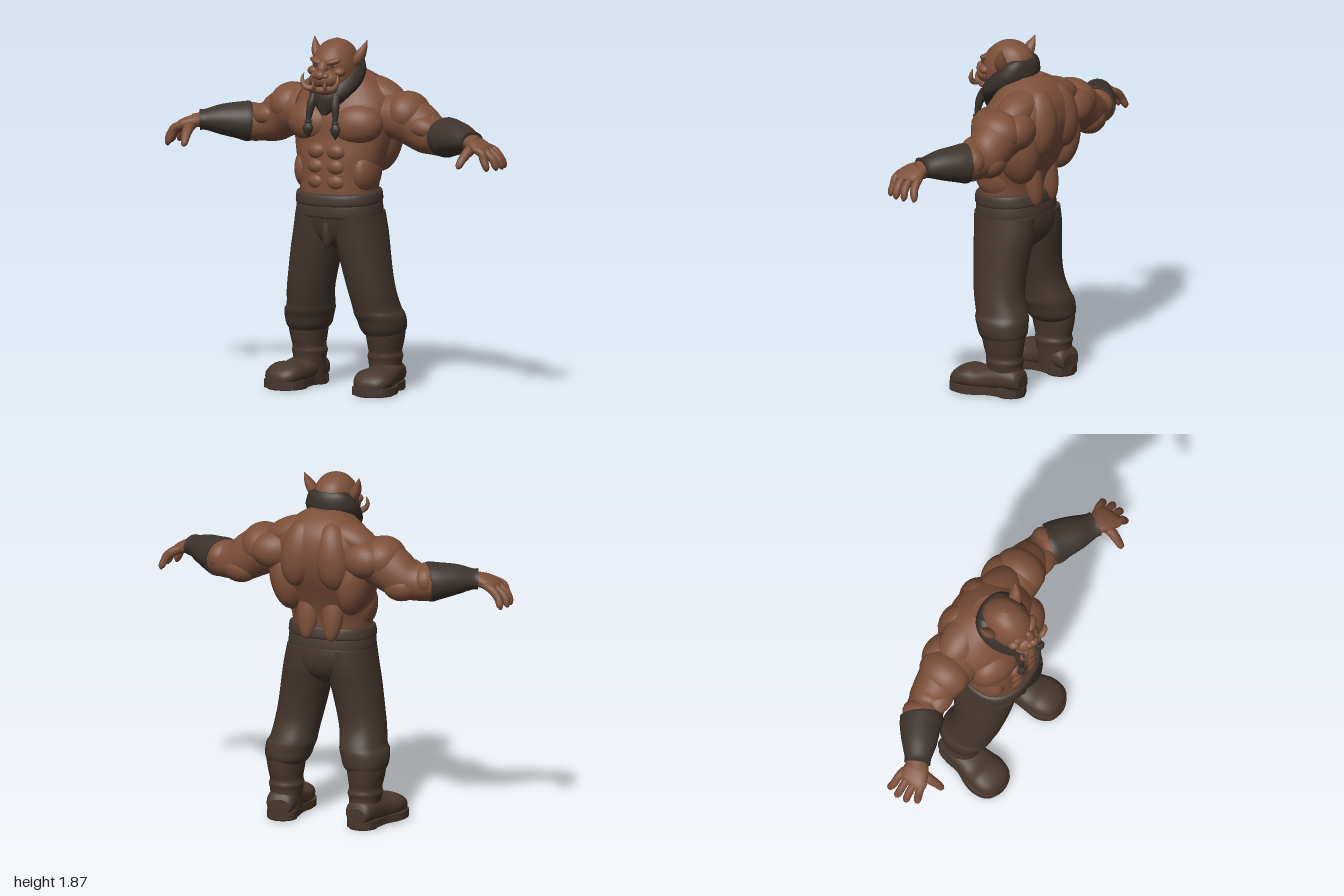
import * as THREE from 'three';

const mat = (name, color) => {
  const m = new THREE.MeshStandardMaterial({ color });
  m.name = name;
  return m;
};
const V = (a) => new THREE.Vector3(...a);

// Smoothed rows [x, y, z, halfU, halfV] swept into a closed skin; a fixed t keeps all rings parallel
function loft(rows, { v = [0, 0, 1], t = null, n = 2, steps = 4, seg = 28 } = {}) {
  const rings = [];
  const row = (i) => rows[Math.max(0, Math.min(rows.length - 1, i))];
  for (let i = 0; i < rows.length - 1; i++) {
    for (let s = 0; s < steps; s++) {
      const f = s / steps;
      rings.push(rows[i].map((b, k) => {
        const a = row(i - 1)[k], c = row(i + 1)[k], d = row(i + 2)[k];
        return b + 0.5 * f * (c - a + f * (2 * a - 5 * b + 4 * c - d + f * (3 * (b - c) + d - a)));
      }));
    }
  }
  rings.push(rows[rows.length - 1]);
  const pos = [], idx = [];
  const sgnPow = (x) => Math.sign(x) * Math.abs(x) ** (2 / n);
  const count = rings.length;
  const addRing = (i) => {
    const r = rings[i];
    const c = V(r.slice(0, 3));
    const dir = t ? V(t) : V(rings[Math.min(i + 1, count - 1)].slice(0, 3))
      .sub(V(rings[Math.max(i - 1, 0)].slice(0, 3))).normalize();
    const u = V(v).cross(dir).normalize();
    const w = dir.clone().cross(u);
    for (let j = 0; j < seg; j++) {
      const a = j / seg * Math.PI * 2;
      const p = c.clone().addScaledVector(u, sgnPow(Math.cos(a)) * Math.max(r[3], 0.001))
        .addScaledVector(w, sgnPow(Math.sin(a)) * Math.max(r[4], 0.001));
      pos.push(p.x, p.y, p.z);
    }
    return c;
  };
  for (let i = 0; i < count; i++) addRing(i);
  for (let i = 0; i < count - 1; i++) {
    for (let j = 0; j < seg; j++) {
      const a = i * seg + j, b = i * seg + (j + 1) % seg;
      idx.push(a, b, a + seg, b, b + seg, a + seg);
    }
  }
  // End caps with their own vertices, so the rims stay crisp
  for (const [i, flip] of [[0, true], [count - 1, false]]) {
    const base = pos.length / 3;
    const c = addRing(i);
    pos.push(c.x, c.y, c.z);
    for (let j = 0; j < seg; j++) {
      const a = base + j, b = base + (j + 1) % seg;
      idx.push(base + seg, flip ? b : a, flip ? a : b);
    }
  }
  const g = new THREE.BufferGeometry();
  g.setAttribute('position', new THREE.Float32BufferAttribute(pos, 3));
  g.setIndex(idx);
  g.computeVertexNormals();
  return g;
}

// Horizontal slice from front and back depth
const slice = ([y, front, back, halfX, x = 0]) => [x, y, (front + back) / 2, (front - back) / 2, halfX];
const body = (rows, n = 2.3, steps = 4) =>
  loft(rows.map(slice), { v: [1, 0, 0], t: [0, 1, 0], n, steps, seg: 36 });

function ball(c, r, rot = [0, 0, 0]) {
  const g = new THREE.SphereGeometry(1, 24, 16);
  g.scale(...r);
  g.applyMatrix4(new THREE.Matrix4().makeRotationFromEuler(new THREE.Euler(...rot)));
  return g.translate(...c);
}

function mirror(geo) {
  const g = geo.index ? geo.toNonIndexed() : geo.clone();
  g.scale(-1, 1, 1);
  for (const key of ['position', 'normal']) {
    const a = g.attributes[key];
    for (let i = 0; i < a.count; i += 3) {
      const p = [a.getX(i), a.getY(i), a.getZ(i)];
      a.setXYZ(i, a.getX(i + 1), a.getY(i + 1), a.getZ(i + 1));
      a.setXYZ(i + 1, ...p);
    }
  }
  return g;
}

export function createModel() {
  const root = new THREE.Group();
  root.name = 'tuskedBrute';
  const skin = mat('skin', 0x7d503a), hair = mat('hair', 0x39302a), cloth = mat('trouserCloth', 0x44362d);
  const sash = mat('sashCloth', 0x463830), leather = mat('bootLeather', 0x47372d), sole = mat('soleLeather', 0x33281f);
  const wrap = mat('wristLeather', 0x3e342d), tusk = mat('tusk', 0x825a43);

  const one = (name, geo, m) => {
    const mesh = new THREE.Mesh(geo, m);
    mesh.name = name;
    root.add(mesh);
  };
  const pair = (name, geo, m) => {
    one(name + 'Left', geo, m);
    one(name + 'Right', mirror(geo), m);
  };

  // Torso and neck
  one('torso', body([[0.95, 0.2, -0.13, 0.2], [1.05, 0.2, -0.125, 0.21], [1.15, 0.2, -0.145, 0.22],
    [1.25, 0.195, -0.185, 0.245], [1.35, 0.18, -0.23, 0.27], [1.45, 0.17, -0.255, 0.28],
    [1.53, 0.14, -0.255, 0.27], [1.6, 0.1, -0.235, 0.22], [1.66, 0.07, -0.185, 0.15], [1.7, 0.05, -0.12, 0.08]]), skin);
  one('neck', loft([[0, 1.5, -0.04, 0.13, 0.13], [0, 1.6, 0, 0.12, 0.12], [0, 1.7, 0.05, 0.1, 0.1]]), skin);

  // Muscles: [name, centre, radii, rotation]
  [['pectoral', [0.135, 1.42, 0.095], [0.145, 0.11, 0.1], [0, 0.2, 0.1]],
    ['trapezius', [0.17, 1.57, -0.1], [0.16, 0.08, 0.1], [0, 0, -0.35]],
    ['upperBack', [0.095, 1.48, -0.18], [0.1, 0.18, 0.094], [0.1, 0, 0.12]],
    ['shoulderBlade', [0.25, 1.47, -0.15], [0.13, 0.1, 0.095], [0, 0.3, 0]],
    ['latissimus', [0.19, 1.34, -0.11], [0.095, 0.19, 0.12], [0, 0, -0.15]],
    ['lowerBack', [0.07, 1.18, -0.115], [0.06, 0.18, 0.052], [0.2, 0, 0]],
    ['oblique', [0.17, 1.17, 0.05], [0.065, 0.12, 0.12], [0, 0, 0]],
    ['deltoid', [0.345, 1.475, -0.08], [0.12, 0.115, 0.14], [0, 0, -0.5]],
    ['biceps', [0.465, 1.415, -0.03], [0.095, 0.06, 0.07], [0, 0, -0.2]],
    ['triceps', [0.46, 1.345, -0.12], [0.1, 0.08, 0.08], [0, 0, 0]],
    ['forearmMuscle', [0.575, 1.38, -0.07], [0.075, 0.085, 0.1], [0, -0.4, 0]],
  ].forEach(([name, c, r, rot]) => pair(name, ball(c, r, rot), skin));
  [1.12, 1.2, 1.28].forEach((y, i) => pair('abdominal' + i, ball([0.056, y, 0.17], [0.055, 0.045, 0.042]), skin));

  // Arms, wrist wraps and hands
  pair('arm', loft([[0.24, 1.46, -0.07, 0.12, 0.13], [0.33, 1.45, -0.08, 0.13, 0.135], [0.4, 1.415, -0.085, 0.125, 0.12],
    [0.46, 1.38, -0.085, 0.115, 0.11], [0.52, 1.365, -0.075, 0.1, 0.1], [0.58, 1.365, -0.055, 0.1, 0.105],
    [0.64, 1.37, -0.03, 0.088, 0.1], [0.72, 1.375, 0.02, 0.068, 0.083], [0.8, 1.375, 0.065, 0.043, 0.058],
    [0.85, 1.37, 0.085, 0.034, 0.06]]), skin);
  pair('wristWrap', loft([[0.585, 1.367, -0.06, 0.103, 0.112], [0.6, 1.368, -0.05, 0.106, 0.114],
    [0.64, 1.372, -0.03, 0.097, 0.108], [0.72, 1.377, 0.02, 0.079, 0.092], [0.79, 1.376, 0.06, 0.055, 0.07],
    [0.815, 1.375, 0.073, 0.056, 0.07]]), wrap);
  pair('palm', loft([[0.8, 1.375, 0.065, 0.035, 0.052], [0.85, 1.365, 0.088, 0.034, 0.07],
    [0.9, 1.345, 0.1, 0.03, 0.077], [0.925, 1.33, 0.1, 0.016, 0.068]], { n: 2.4 }), skin);
  [[0.035, 0.97, 0.01], [0.077, 0.985, 0.065], [0.12, 0.98, 0.118], [0.16, 0.952, 0.17]].forEach(([z, tipX, tipZ], i) =>
    pair('finger' + i, loft([[0.875, 1.355, z, 0.02, 0.02], [0.92, 1.335, (z * 2 + tipZ) / 3, 0.023, 0.021],
      [tipX - 0.017, 1.3, (z + tipZ) / 2, 0.022, 0.021], [tipX, 1.262, tipZ, 0.018, 0.018],
      [tipX + 0.004, 1.242, tipZ, 0.006, 0.006]], { seg: 12 }), skin));
  pair('thumb', loft([[0.84, 1.36, 0.1, 0.03, 0.03], [0.838, 1.335, 0.16, 0.028, 0.028], [0.828, 1.3, 0.205, 0.022, 0.023],
    [0.822, 1.268, 0.232, 0.017, 0.018], [0.82, 1.255, 0.24, 0.005, 0.006]], { v: [1, 0, 0], seg: 12 }), skin);

  // Head
  one('skull', body([[1.6, 0.19, -0.01, 0.08], [1.65, 0.205, -0.04, 0.108], [1.7, 0.21, -0.055, 0.115],
    [1.74, 0.215, -0.06, 0.113], [1.78, 0.205, -0.058, 0.104], [1.82, 0.172, -0.035, 0.086],
    [1.85, 0.13, 0.005, 0.056], [1.866, 0.085, 0.05, 0.012]], 2.15), skin);
  one('muzzle', ball([0, 1.668, 0.195], [0.085, 0.055, 0.068]), skin);
  one('lowerJaw', ball([0, 1.612, 0.195], [0.078, 0.03, 0.06]), skin);
  one('noseBridge', ball([0, 1.725, 0.215], [0.03, 0.045, 0.035], [-0.4, 0, 0]), skin);
  one('noseTip', ball([0, 1.692, 0.248], [0.032, 0.026, 0.027]), skin);
  pair('nostrilWing', ball([0.03, 1.688, 0.24], [0.02, 0.018, 0.022]), skin);
  pair('nostril', ball([0.014, 1.682, 0.267], [0.007, 0.006, 0.006]), hair);
  pair('brow', ball([0.048, 1.76, 0.198], [0.046, 0.017, 0.024], [0, 0.35, 0.25]), skin);
  pair('cheek', ball([0.075, 1.705, 0.175], [0.035, 0.026, 0.035]), skin);
  pair('eye', ball([0.05, 1.738, 0.206], [0.013, 0.007, 0.009]), hair);
  pair('ear', loft([[0.085, 1.715, 0.055, 0.016, 0.025], [0.108, 1.745, 0.05, 0.026, 0.036], [0.13, 1.785, 0.042, 0.027, 0.034],
    [0.147, 1.825, 0.03, 0.015, 0.02], [0.157, 1.86, 0.02, 0.002, 0.002]], { seg: 16 }), skin);
  pair('tusk', loft([[0.045, 1.622, 0.235, 0.015, 0.015], [0.075, 1.622, 0.248, 0.016, 0.016],
    [0.1, 1.645, 0.25, 0.013, 0.013], [0.106, 1.672, 0.246, 0.009, 0.009], [0.1, 1.7, 0.24, 0.002, 0.002]], { seg: 12 }), tusk);
  pair('smallTusk', loft([[0.032, 1.615, 0.245, 0.01, 0.01], [0.034, 1.635, 0.26, 0.009, 0.009],
    [0.036, 1.662, 0.262, 0.002, 0.002]], { v: [1, 0, 0], seg: 10 }), tusk);

  // Beard wrapping round the nape, with two braids
  one('beard', body([[1.475, 0.215, 0.185, 0.015], [1.53, 0.225, 0.11, 0.07], [1.58, 0.225, 0.04, 0.115],
    [1.63, 0.2, -0.04, 0.142], [1.69, 0.155, -0.08, 0.147], [1.73, 0.115, -0.083, 0.136],
    [1.765, 0.07, -0.075, 0.117], [1.785, 0.03, -0.062, 0.09]], 2), hair);
  pair('braid', loft([[0.065, 1.58, 0.19, 0.024, 0.024], [0.072, 1.53, 0.212, 0.022, 0.024], [0.078, 1.48, 0.222, 0.017, 0.017],
    [0.08, 1.44, 0.228, 0.013, 0.013], [0.082, 1.41, 0.23, 0.028, 0.022], [0.083, 1.385, 0.231, 0.022, 0.018],
    [0.083, 1.355, 0.232, 0.003, 0.003]], { seg: 14 }), hair);
  pair('braidTie', new THREE.TorusGeometry(0.015, 0.006, 8, 16).rotateX(Math.PI / 2).translate(0.08, 1.44, 0.228), wrap);

  // Trousers
  one('trouserSeat', body([[0.755, 0.08, -0.07, 0.03], [0.8, 0.155, -0.125, 0.13], [0.86, 0.185, -0.155, 0.215],
    [0.93, 0.2, -0.16, 0.23], [1.0, 0.205, -0.145, 0.22]]), cloth);
  pair('trouserLeg', body([[0.3, 0.07, -0.15, 0.095, 0.225], [0.33, 0.09, -0.168, 0.115, 0.222], [0.375, 0.105, -0.168, 0.124, 0.217],
    [0.41, 0.12, -0.165, 0.127, 0.208], [0.44, 0.125, -0.155, 0.12, 0.198], [0.52, 0.145, -0.125, 0.12, 0.185],
    [0.62, 0.162, -0.12, 0.123, 0.165], [0.75, 0.18, -0.135, 0.128, 0.14], [0.85, 0.19, -0.15, 0.128, 0.122],
    [0.95, 0.2, -0.15, 0.12, 0.11]], 2.2), cloth);
  one('fly', ball([0, 0.86, 0.165], [0.028, 0.1, 0.035]), cloth);
  pair('pocketEdge', new THREE.TubeGeometry(new THREE.CatmullRomCurve3([[0.09, 0.95, 0.196], [0.12, 0.92, 0.19],
    [0.17, 0.905, 0.165], [0.205, 0.91, 0.125]].map(V)), 16, 0.007, 6), cloth);

  // Sash of two overlapping folds, higher at the back
  [[0.94, 1.02, 0], [1.0, 1.068, 0.006]].forEach(([lo, hi, grow], i) => {
    const g = body([[lo, 0.205, -0.145, 0.222], [lo + 0.012, 0.218 + grow, -0.155, 0.232],
      [hi - 0.012, 0.216 + grow, -0.148, 0.228], [hi, 0.205, -0.138, 0.215]]);
    const p = g.attributes.position;
    for (let k = 0; k < p.count; k++) p.setY(k, p.getY(k) - 0.06 * p.getZ(k) + 0.012 * p.getX(k) * (i * 2 - 1));
    g.computeVertexNormals();
    one('sashFold' + i, g, sash);
  });

  // Boots with toes turned slightly outward
  pair('bootShaft', body([[0.05, 0.04, -0.155, 0.08, 0.228], [0.12, 0.045, -0.152, 0.08, 0.226], [0.16, 0.045, -0.15, 0.085, 0.226],
    [0.185, 0.05, -0.155, 0.09, 0.226], [0.21, 0.05, -0.15, 0.083, 0.227], [0.25, 0.06, -0.158, 0.09, 0.229],
    [0.3, 0.07, -0.164, 0.098, 0.23], [0.335, 0.075, -0.165, 0.1, 0.231]], 2.1), leather);
  const place = (g) => g.rotateY(0.14).translate(0.235, 0, -0.06);
  pair('bootFoot', place(loft([[0, 0.075, -0.105, 0.04, 0.055], [0, 0.09, -0.08, 0.06, 0.075], [0, 0.095, 0, 0.07, 0.084],
    [0, 0.085, 0.08, 0.066, 0.09], [0, 0.077, 0.14, 0.06, 0.1], [0, 0.08, 0.2, 0.062, 0.106], [0, 0.07, 0.26, 0.05, 0.092],
    [0, 0.06, 0.295, 0.03, 0.055], [0, 0.055, 0.303, 0.012, 0.02]], { v: [1, 0, 0], t: [0, 0, 1], n: 2.3 })), leather);
  const outline = new THREE.Shape(new THREE.SplineCurve([[0, -0.112], [0.065, -0.09], [0.083, -0.02], [0.085, 0.06],
    [0.11, 0.14], [0.115, 0.21], [0.085, 0.28], [0, 0.31], [-0.085, 0.28], [-0.112, 0.21], [-0.1, 0.14], [-0.082, 0.06],
    [-0.08, -0.02], [-0.065, -0.09], [0, -0.112]].map(([x, z]) => new THREE.Vector2(x, -z))).getPoints(48));
  pair('bootSole', place(new THREE.ExtrudeGeometry(outline, { depth: 0.04, bevelEnabled: false })
    .rotateX(-Math.PI / 2).translate(0, 0.008, 0)), leather);
  pair('bootHeel', place(new THREE.CylinderGeometry(0.076, 0.076, 0.012, 24).translate(0, 0.006, -0.034)), sole);
  pair('bootTread', place(new THREE.CylinderGeometry(0.1, 0.1, 0.01, 24).scale(1, 1, 1.1).translate(0, 0.005, 0.19)), sole);

  return root;
}
